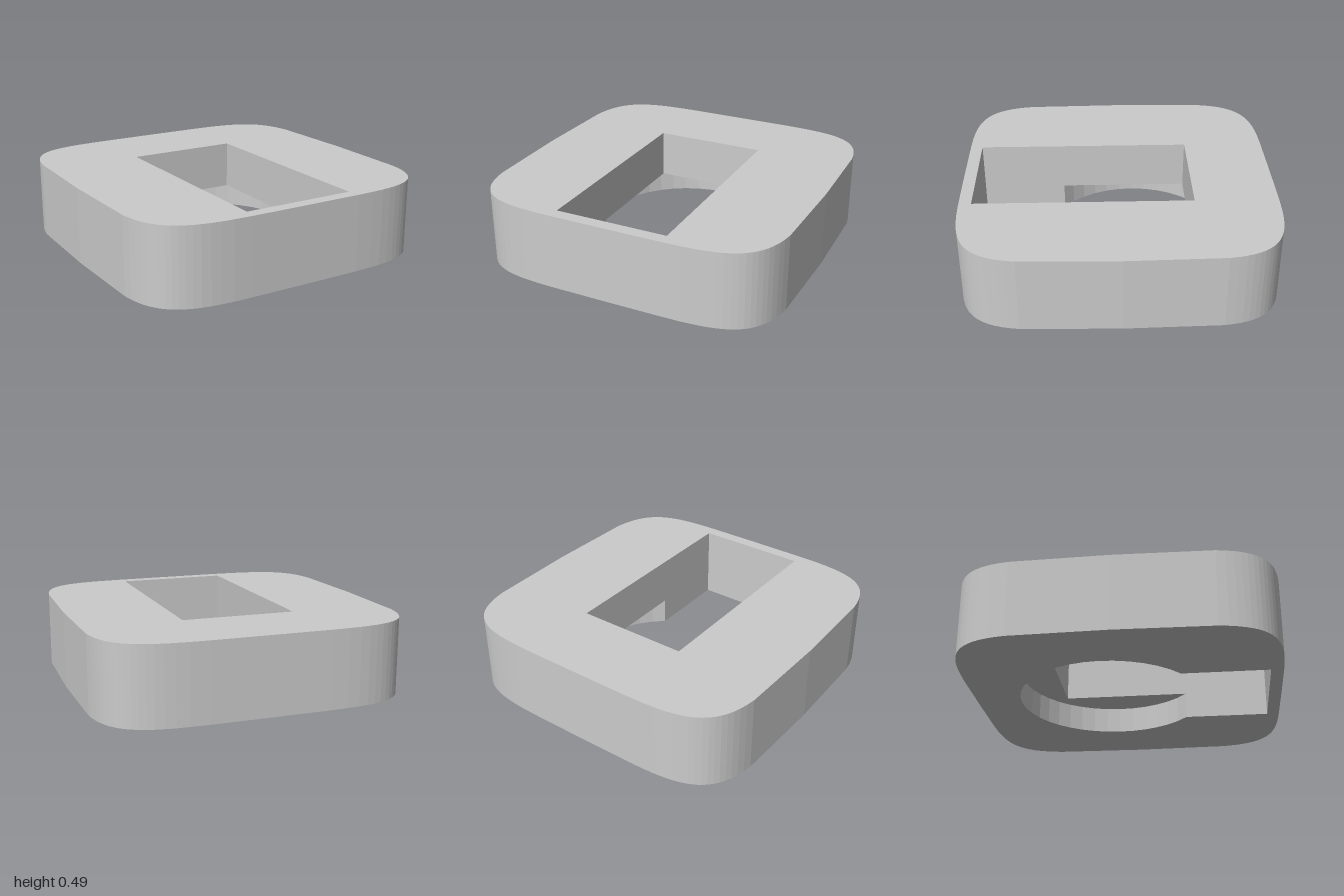
import * as THREE from 'three';

const HEIGHT = 0.49, POCKET = 0.175;            // overall height, underside pocket depth
const SLOT = { x: 0.365, back: -0.47, front: 0.92 };
const ROUND = { z: -0.11, r: 0.6 };             // round part of the underside pocket

// Squarish outline: softly bowed sides, superellipse corners
function outline() {
  const n = 5.3, steps = 16, quarter = [];
  const t0 = Math.asin(Math.pow(0.61, n / 2)), t1 = Math.acos(Math.pow(0.38, n / 2));
  for (let i = 0; i <= steps; i++) {
    const t = t0 + (t1 - t0) * i / steps;
    quarter.push([Math.pow(Math.cos(t), 2 / n), Math.pow(Math.sin(t), 2 / n)]);
  }
  quarter.push([0, 1]);
  const half = [[1, 0], ...quarter, ...quarter.slice(0, -1).reverse().map(([x, z]) => [-x, z])];
  const all = [...half, ...half.map(([x, z]) => [-x, -z])];
  return new THREE.Shape(all.map(([x, z]) => new THREE.Vector2(x, z)));
}

// Plain rectangular slot
function slotHole() {
  const { x, back, front } = SLOT;
  return new THREE.Path([[x, back], [-x, back], [-x, front], [x, front]]
    .map((p) => new THREE.Vector2(...p)));
}

// Slot merged with the round pocket
function keyholeHole() {
  const { x, front } = SLOT, { z, r } = ROUND, steps = 32;
  const a0 = Math.acos(x / r), a1 = -Math.PI - a0;
  const pts = [];
  for (let i = 0; i <= steps; i++) {
    const a = a0 + (a1 - a0) * i / steps;
    pts.push(new THREE.Vector2(r * Math.cos(a), z + r * Math.sin(a)));
  }
  pts.push(new THREE.Vector2(-x, front), new THREE.Vector2(x, front));
  return new THREE.Path(pts);
}

// Horizontal slab from y = bottom to y = top with one hole
function slab(name, hole, bottom, top, material) {
  const shape = outline();
  shape.holes.push(hole);
  const geo = new THREE.ExtrudeGeometry(shape, { depth: top - bottom, bevelEnabled: false });
  geo.rotateX(Math.PI / 2).translate(0, top, 0);
  const mesh = new THREE.Mesh(geo, material);
  mesh.name = name;
  return mesh;
}

export function createModel() {
  const group = new THREE.Group();
  group.name = 'slottedBlock';
  const material = new THREE.MeshStandardMaterial({ color: 0xcccccc });
  group.add(slab('lowerBodyWithPocket', keyholeHole(), 0, POCKET, material));
  group.add(slab('upperBodyWithSlot', slotHole(), POCKET, HEIGHT, material));
  return group;
}
